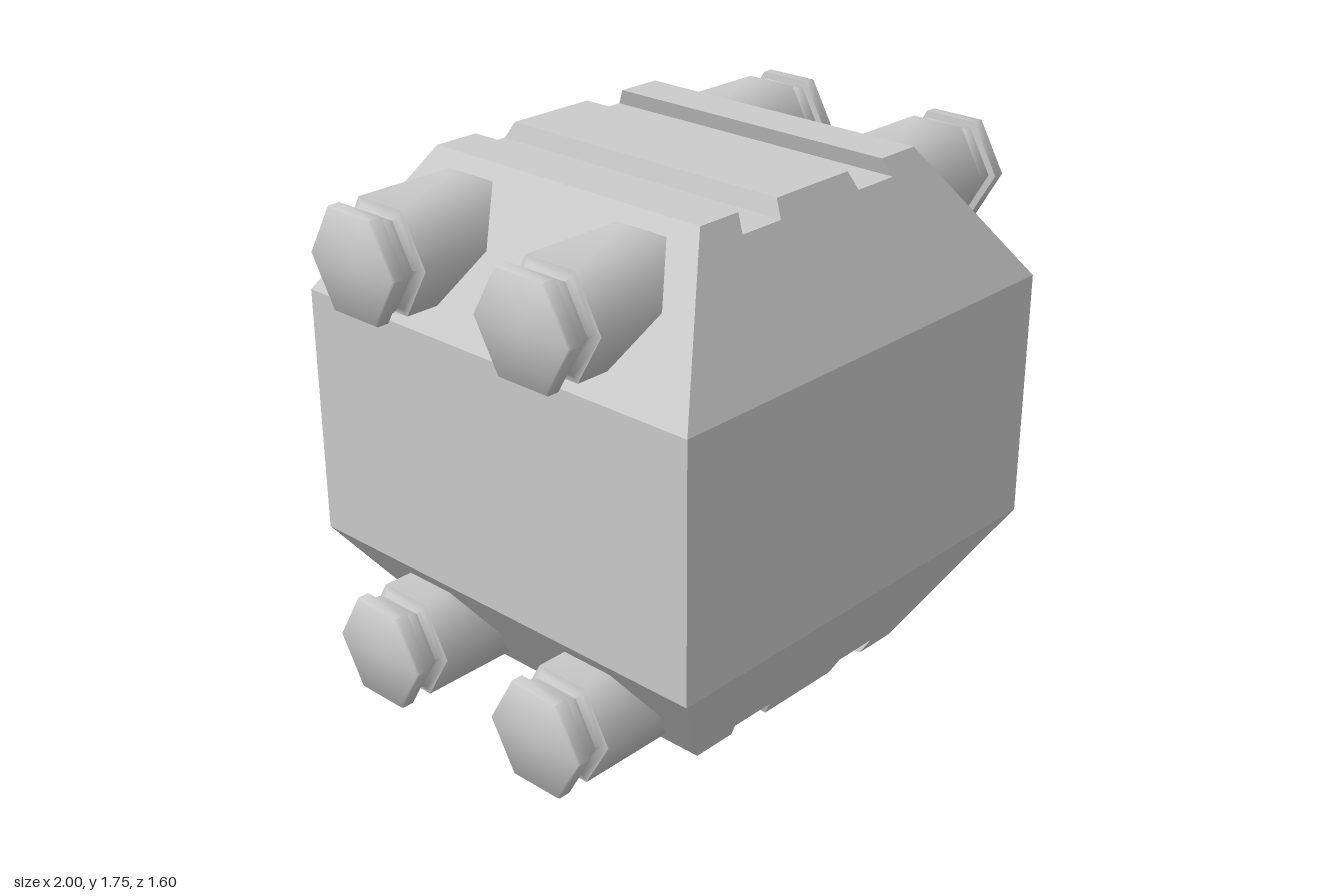
import * as THREE from 'three';
import { toCreasedNormals } from 'three/addons/utils/BufferGeometryUtils.js';

const HEIGHT = 1.745;
const CAP_H = 0.45; // height of each sloping cap
const BASE = { x: 0.82, z: 0.8 };
const TIP = { x: 0.49, z: 0.545 };

// Sloping cap: a notched trapezoid, extruded, with its ends leaned inwards by height
function capGeometry() {
  const floor = CAP_H - 0.055;
  const half = [
    [TIP.x, CAP_H], [0.33, CAP_H], [0.347, floor], [0.18, floor], [0.163, CAP_H],
  ];
  const outline = [
    [BASE.x, 0], ...half,
    ...half.slice().reverse().map(([x, y]) => [-x, y]), [-BASE.x, 0],
  ];
  const shape = new THREE.Shape(outline.map(([x, y]) => new THREE.Vector2(x, y)));
  const geo = new THREE.ExtrudeGeometry(shape, { depth: 1, bevelEnabled: false });
  const p = geo.attributes.position;
  for (let i = 0; i < p.count; i++) {
    const reach = THREE.MathUtils.lerp(BASE.z, TIP.z, p.getY(i) / CAP_H);
    p.setZ(i, p.getZ(i) > 0.5 ? reach : -reach);
  }
  geo.computeVertexNormals();
  return geo;
}

// Six-sided bolt lying along +x: shank, narrow neck and head
function boltGeometry() {
  const profile = [
    [0, 0.48], [0.19, 0.48], [0.19, 0.88], [0.166, 0.885], [0.157, 0.902],
    [0.166, 0.92], [0.166, 0.95], [0.19, 0.953], [0.19, 0.992], [0.184, 1], [0, 1],
  ];
  const geo = new THREE.LatheGeometry(profile.map(([r, h]) => new THREE.Vector2(r, h)), 6);
  geo.rotateZ(-Math.PI / 2);
  return toCreasedNormals(geo, 1.1);
}

export function createModel() {
  const model = new THREE.Group();
  const grey = new THREE.MeshStandardMaterial({ color: 0xcccccc });
  const add = (name, geo) => {
    const mesh = new THREE.Mesh(geo, grey);
    mesh.name = name;
    model.add(mesh);
    return mesh;
  };

  // Body: straight middle block between two mirrored caps
  const middleH = HEIGHT - 2 * CAP_H;
  add('bodyBlock', new THREE.BoxGeometry(BASE.x * 2, middleH, BASE.z * 2)).position.y = HEIGHT / 2;
  const cap = capGeometry();
  add('topCap', cap).position.y = HEIGHT - CAP_H;
  const bottom = add('bottomCap', cap);
  bottom.position.y = CAP_H;
  bottom.rotation.x = Math.PI;

  // Two bolts on each sloping side, above and below
  const bolt = boltGeometry();
  for (const side of [1, -1]) {
    for (const [level, y] of [['Upper', 1.535], ['Lower', 0.225]]) {
      for (const z of [0.355, -0.355]) {
        const name = `${side > 0 ? 'left' : 'right'}${level}${z > 0 ? 'Front' : 'Back'}Bolt`;
        const mesh = add(name, bolt);
        mesh.position.set(0, y, z);
        mesh.rotation.y = side > 0 ? 0 : Math.PI;
      }
    }
  }
  return model;
}
